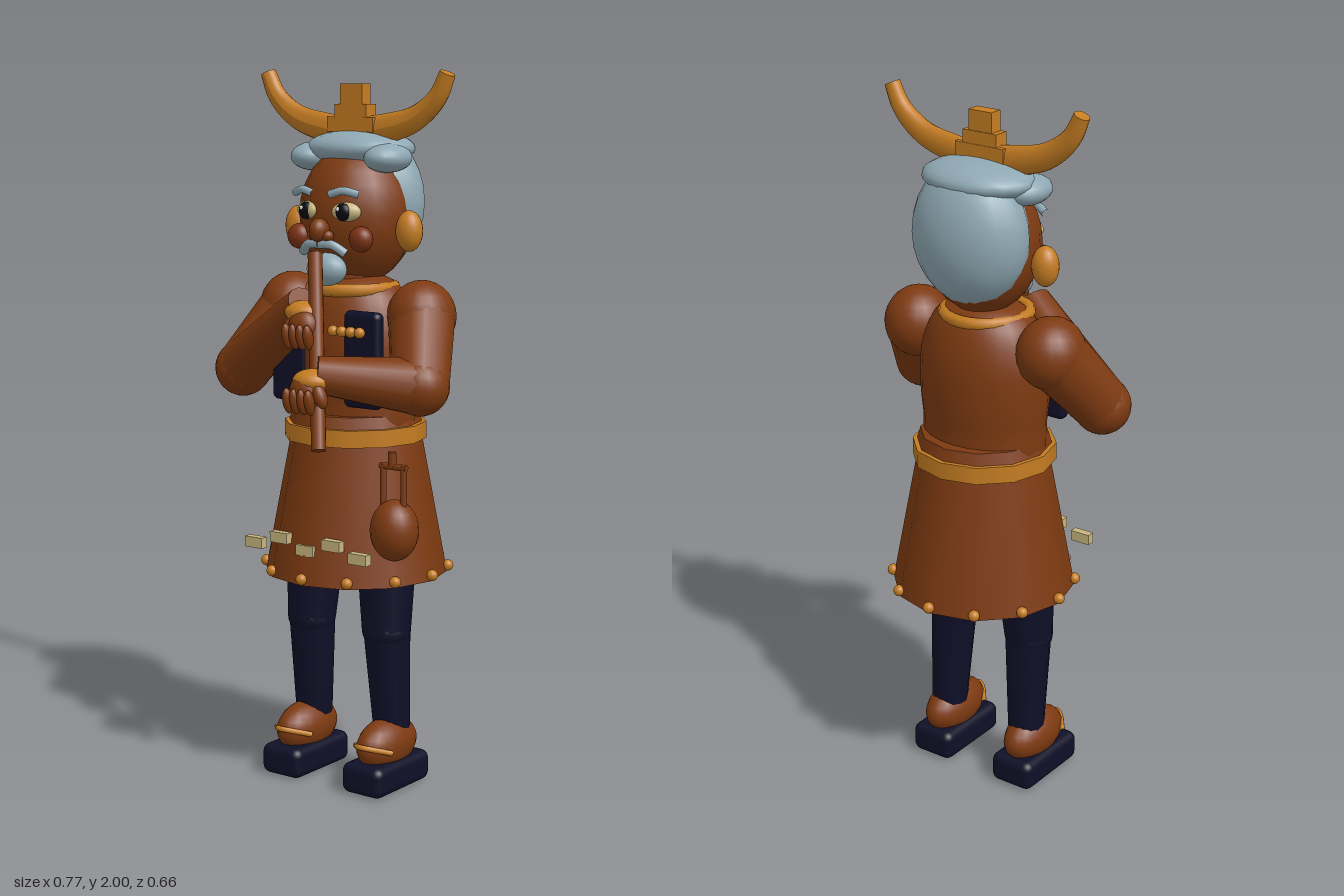
import * as THREE from 'three';
import { RoundedBoxGeometry } from 'three/addons/geometries/RoundedBoxGeometry.js';

const mat = (name, color) => Object.assign(new THREE.MeshStandardMaterial({ color }), { name });
const V = (p) => new THREE.Vector3(...p);

export function createModel() {
  const brown = mat('brown', 0x7d3a11), ruddy = mat('ruddy brown', 0x7c3216), gold = mat('gold', 0xc47c22);
  const navy = mat('navy', 0x0f0f28), hair = mat('grey blue', 0x8fa8b3), cream = mat('cream', 0xc8b67e);
  const black = mat('black', 0x08080f), white = mat('white', 0xe8e8e8);
  const model = new THREE.Group();

  const add = (name, geo, m, p = [0, 0, 0], r = [0, 0, 0]) => {
    const mesh = new THREE.Mesh(geo, m);
    mesh.name = name;
    mesh.position.set(...p);
    mesh.rotation.set(...r);
    model.add(mesh);
    return mesh;
  };
  const ball = (name, m, p, s, r) => {
    const mesh = add(name, new THREE.SphereGeometry(1, 20, 14), m, p, r);
    mesh.scale.set(...s);
    return mesh;
  };
  const box = (name, m, p, s) => add(name, new THREE.BoxGeometry(...s), m, p);
  // Tapered round bar between two points
  const rod = (name, m, a, b, ra, rb = ra, sides = 14) => {
    const A = V(a), B = V(b), d = B.clone().sub(A);
    const mesh = add(name, new THREE.CylinderGeometry(rb, ra, d.length(), sides), m);
    mesh.position.copy(A).add(B).multiplyScalar(0.5);
    mesh.quaternion.setFromUnitVectors(new THREE.Vector3(0, 1, 0), d.normalize());
    return mesh;
  };
  const tube = (name, m, pts, r) =>
    add(name, new THREE.TubeGeometry(new THREE.CatmullRomCurve3(pts.map(V)), 16, r, 8), m);

  // Legs and shoes
  for (const s of [1, -1]) {
    add('sole', new RoundedBoxGeometry(0.137, 0.088, 0.255, 3, 0.025), navy, [s * 0.143, 0.044, 0]);
    ball('shoe', brown, [s * 0.142, 0.125, -0.005], [0.063, 0.073, 0.118]);
    tube('shoeStrap', gold, [[s * 0.142 - 0.064, 0.12, 0.055], [s * 0.142, 0.14, 0.115], [s * 0.142 + 0.064, 0.12, 0.055]], 0.008);
    rod('lowerLeg', navy, [s * 0.138, 0.16, -0.035], [s * 0.132, 0.45, -0.018], 0.052, 0.066);
    ball('knee', navy, [s * 0.132, 0.45, -0.016], [0.069, 0.06, 0.069]);
    rod('upperLeg', navy, [s * 0.132, 0.45, -0.016], [s * 0.125, 0.64, -0.025], 0.069, 0.082);
  }

  // Skirt with studded hem
  add('skirt', new THREE.CylinderGeometry(0.183, 0.258, 0.4, 12), brown, [0, 0.8, -0.052]);
  add('belt', new THREE.CylinderGeometry(0.2, 0.2, 0.048, 12), gold, [0, 1.006, -0.048]);
  add('waistBand', new THREE.CylinderGeometry(0.178, 0.188, 0.035, 12), brown, [0, 1.045, -0.048]);
  for (let i = 0; i < 12; i++) {
    const a = i * Math.PI / 6;
    ball('hemStud', gold, [Math.sin(a) * 0.26, 0.617, Math.cos(a) * 0.256 - 0.054], [0.016, 0.016, 0.016]);
  }
  for (let i = -2; i <= 2; i++) box('skirtTile', cream, [i * 0.09, i % 2 ? 0.72 : 0.695, 0.178], [0.06, 0.03, 0.024]);

  // Gourd hanging from the belt
  ball('gourd', brown, [0.23, 0.765, 0.085], [0.068, 0.085, 0.066]);
  for (const x of [0.192, 0.26]) rod('gourdStrap', brown, [x, 0.82, 0.085], [x, 0.945, 0.085], 0.009);
  rod('gourdBar', brown, [0.183, 0.94, 0.085], [0.269, 0.94, 0.085], 0.009);
  rod('gourdHook', brown, [0.222, 0.94, 0.085], [0.222, 0.98, 0.085], 0.012);

  // Torso and chest
  const profile = [[0, 1], [0.165, 1], [0.182, 1.1], [0.19, 1.2], [0.184, 1.3], [0.15, 1.39], [0.09, 1.435], [0, 1.44]];
  const torso = add('torso', new THREE.LatheGeometry(
    new THREE.SplineCurve(profile.map((p) => new THREE.Vector2(...p))).getPoints(28), 24), brown, [0, 0, -0.045]);
  torso.scale.z = 0.8;
  rod('neck', brown, [0, 1.38, -0.04], [0, 1.5, -0.04], 0.075);
  add('collar', new THREE.TorusGeometry(0.115, 0.018, 8, 24), gold, [0, 1.405, -0.035], [Math.PI / 2, 0, 0]);
  for (const s of [1, -1])
    add('chestPlate', new RoundedBoxGeometry(0.12, 0.265, 0.04, 3, 0.018), navy, [s * 0.124, 1.222, 0.082]);
  for (let i = 0; i < 4; i++) ball('chestBead', gold, [0.045 + i * 0.03, 1.3, 0.117], [0.015, 0.015, 0.015]);

  // Flute
  const fluteTop = [0.005, 1.51, 0.143], fluteEnd = [0.135, 1.005, 0.298];
  rod('flute', brown, fluteTop, fluteEnd, 0.02);

  // Arms with cuffs and gripping hands
  const arm = (s, wrist, hand) => {
    const shoulder = [s * 0.222, 1.335, -0.05], elbow = [s * 0.305, 1.165, 0.075];
    ball('shoulder', brown, shoulder, [0.093, 0.1, 0.1]);
    rod('upperArm', brown, shoulder, elbow, 0.092, 0.079);
    ball('elbow', brown, elbow, [0.08, 0.08, 0.08]);
    rod('forearm', brown, elbow, wrist, 0.079, 0.05);
    const cuffEnd = V(wrist).lerp(V(hand), 0.35).toArray();
    ball('cuff', gold, cuffEnd, [0.056, 0.032, 0.05]);
    ball('palm', brown, hand, [0.046, 0.05, 0.036]);
    for (let i = 0; i < 4; i++) {
      const x = hand[0] - 0.036 + i * 0.024;
      ball('finger', brown, [x, hand[1] - 0.022, hand[2] + 0.028], [0.0135, 0.036, 0.016], [0.25, 0, 0]);
    }
    ball('thumb', brown, [hand[0] + s * 0.05, hand[1] - 0.005, hand[2]], [0.018, 0.036, 0.02], [0, 0, s * 0.4]);
  };
  arm(1, [0.095, 1.2, 0.255], [0.082, 1.155, 0.288]);
  arm(-1, [-0.01, 1.375, 0.17], [0.02, 1.315, 0.212]);

  // Head and hair
  ball('head', brown, [0, 1.605, -0.055], [0.162, 0.195, 0.157]);
  ball('backHair', hair, [0, 1.64, -0.108], [0.172, 0.195, 0.124]);
  ball('topHair', hair, [0, 1.785, -0.07], [0.165, 0.052, 0.125]);
  for (const s of [1, -1]) {
    ball('hairTuft', hair, [s * 0.125, 1.762, -0.025], [0.06, 0.04, 0.078]);
    ball('ear', gold, [s * 0.19, 1.567, -0.035], [0.038, 0.056, 0.036]);
    // Face details
    ball('eye', cream, [s * 0.065, 1.62, 0.082], [0.042, 0.026, 0.022], [0, s * 0.3, 0]);
    ball('iris', black, [s * 0.062, 1.62, 0.094], [0.024, 0.024, 0.016]);
    ball('eyeGlint', white, [s * 0.062 - 0.007, 1.628, 0.108], [0.006, 0.006, 0.004]);
    tube('eyebrow', hair, [[s * 0.028, 1.667, 0.108], [s * 0.068, 1.677, 0.102], [s * 0.108, 1.667, 0.083]], 0.011);
    ball('cheek', ruddy, [s * 0.105, 1.547, 0.07], [0.035, 0.035, 0.03]);
    ball('nostril', brown, [s * 0.024, 1.555, 0.112], [0.017, 0.016, 0.018]);
    tube('moustache', hair, [[0, 1.533, 0.116], [s * 0.04, 1.531, 0.113], [s * 0.072, 1.508, 0.095]], 0.013);
  }
  ball('nose', brown, [0, 1.57, 0.118], [0.026, 0.033, 0.032]);
  ball('beard', hair, [0, 1.462, 0.085], [0.062, 0.045, 0.042]);

  // Horned crest: a tube thinned toward the tips
  const half = [[0.1, 1.84], [0.2, 1.868], [0.272, 1.925], [0.304, 1.988]];
  const pts = [...half.map(([x, y]) => [-x, y, -0.045]).reverse(), [0, 1.828, -0.045], ...half.map(([x, y]) => [x, y, -0.045])];
  const curve = new THREE.CatmullRomCurve3(pts.map(V));
  const segs = 40, sides = 12;
  const horn = new THREE.TubeGeometry(curve, segs, 1, sides);
  const pos = horn.attributes.position, v = new THREE.Vector3();
  for (let i = 0; i < pos.count; i++) {
    const u = Math.floor(i / (sides + 1)) / segs, c = curve.getPointAt(u);
    const r = 0.022 + 0.02 * Math.sin(Math.PI * u);
    v.fromBufferAttribute(pos, i).sub(c);
    pos.setXYZ(i, c.x + v.x * r, c.y + v.y * r, c.z + v.z * 0.022);
  }
  horn.computeVertexNormals();
  add('horns', horn, gold);
  for (const s of [1, -1]) rod('hornTip', gold, [s * 0.3, 1.98, -0.045], [s * 0.304, 1.989, -0.045], 0.0218, 0.0218, 12);
  box('crestBase', gold, [0, 1.85, -0.045], [0.155, 0.04, 0.05]);
  box('crestMiddle', gold, [0, 1.88, -0.045], [0.108, 0.05, 0.046]);
  box('crestTop', gold, [0, 1.925, -0.045], [0.074, 0.07, 0.04]);

  return model;
}
